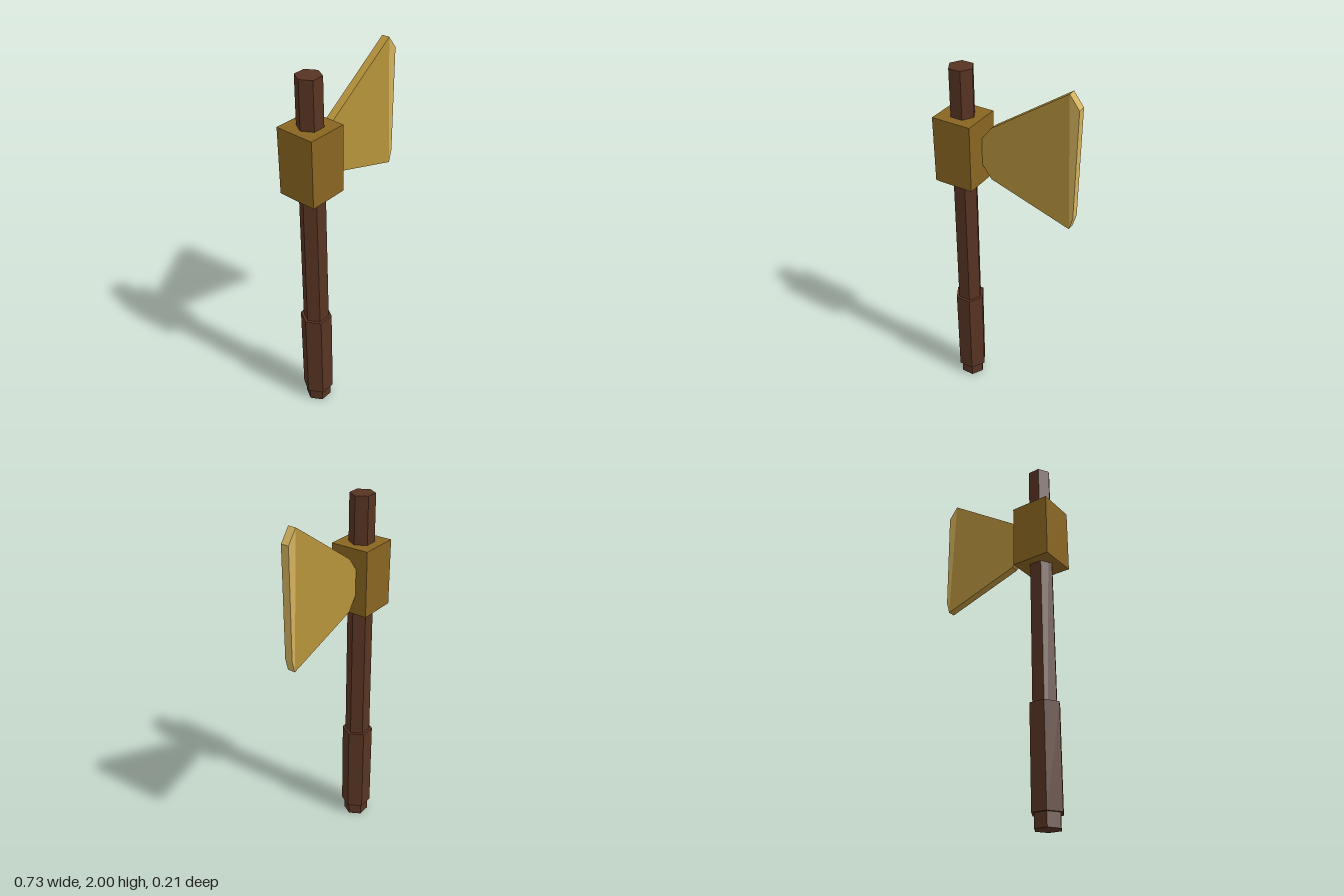
import * as THREE from 'three';

const material = (name, color) => {
  const m = new THREE.MeshStandardMaterial({ color });
  m.name = name;
  return m;
};

export function createModel() {
  const wood = material('dark wood', 0x583423);
  const brass = material('dark brass', 0x896521);
  const gold = material('gold', 0xb7933c);
  const paleGold = material('pale gold', 0xd2b25e);
  const axe = new THREE.Group();
  axe.name = 'axe';
  const shaftX = -0.26;

  const add = (name, geometry, mat) => {
    const mesh = new THREE.Mesh(geometry, mat);
    mesh.name = name;
    axe.add(mesh);
    return mesh;
  };

  // Six-sided rod with corners on the x axis and sharp faces
  const hexRod = (name, rTop, rBottom, y0, y1) => {
    const g = new THREE.CylinderGeometry(rTop, rBottom, y1 - y0, 6)
      .rotateY(Math.PI / 6).toNonIndexed();
    g.computeVertexNormals();
    add(name, g, wood).position.set(shaftX, (y0 + y1) / 2, 0);
  };

  // Slightly tapered shaft and the thicker grip around its lower end
  hexRod('shaft', 0.065, 0.071, 0, 2);
  hexRod('grip', 0.085, 0.085, 0.073, 0.61);

  // Block that holds the blade
  add('headBlock', new THREE.BoxGeometry(0.214, 0.354, 0.214), brass)
    .position.set(shaftX, 1.575, 0);

  // Flat plates of the blade, set behind the centre plane
  const plate = (name, points, mat) => {
    const shape = new THREE.Shape(points.map(([x, y]) => new THREE.Vector2(x, y)));
    const g = new THREE.ExtrudeGeometry(shape, { depth: 0.042, bevelEnabled: false });
    add(name, g, mat).position.z = -0.042;
  };
  plate('blade', [
    [-0.155, 1.505], [-0.1, 1.432], [0.345, 1.29],
    [0.31, 2], [-0.1, 1.718], [-0.155, 1.645],
  ], gold);
  plate('cuttingEdge', [
    [0.345, 1.29], [0.363, 1.355], [0.363, 1.932], [0.31, 2],
  ], paleGold);

  return axe;
}
